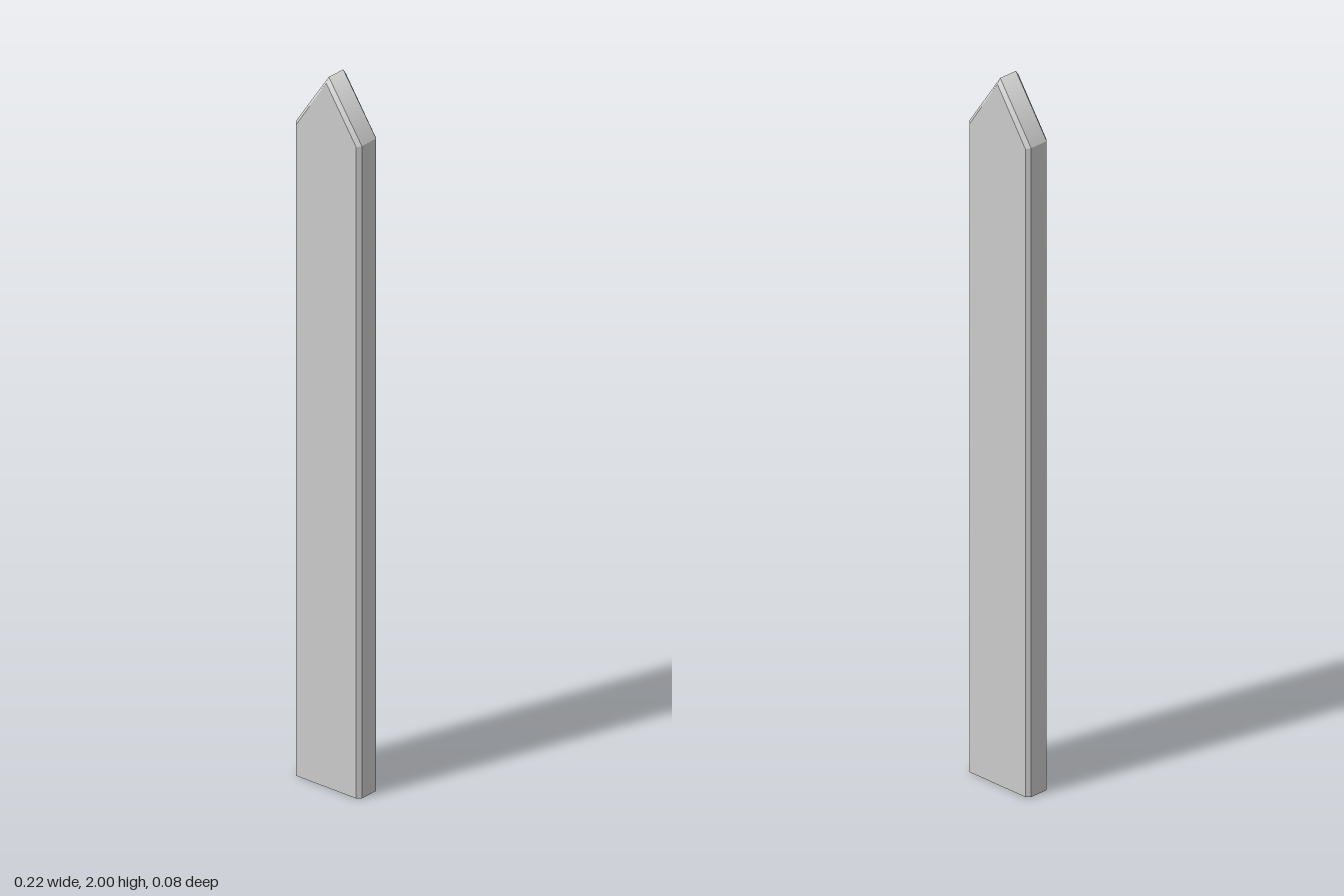
import * as THREE from 'three';

const HALF_WIDTH = 0.11, SHOULDER = 1.84, TOP = 2, HALF_DEPTH = 0.038, CHAMFER = 0.01;

// Pointed board with chamfered long edges and a square-cut foot
function picketGeometry() {
  const outline = new THREE.Shape([
    new THREE.Vector2(-HALF_WIDTH, 0),
    new THREE.Vector2(HALF_WIDTH, 0),
    new THREE.Vector2(HALF_WIDTH, SHOULDER),
    new THREE.Vector2(0, TOP),
    new THREE.Vector2(-HALF_WIDTH, SHOULDER),
  ]);
  const depth = 2 * (HALF_DEPTH - CHAMFER);
  const geometry = new THREE.ExtrudeGeometry(outline, {
    depth,
    bevelEnabled: true,
    bevelSegments: 1,
    bevelSize: CHAMFER,
    bevelThickness: CHAMFER,
    bevelOffset: -CHAMFER,
  });
  geometry.translate(0, 0, -depth / 2);

  // Flatten the chamfer at the foot
  const position = geometry.attributes.position;
  for (let i = 0; i < position.count; i++) {
    if (position.getY(i) < 0.1) position.setY(i, 0);
  }
  geometry.computeVertexNormals();

  // Soften the shading across the ridge of the point
  const normal = geometry.attributes.normal;
  const n = new THREE.Vector3();
  for (let i = 0; i < position.count; i++) {
    n.fromBufferAttribute(normal, i);
    if (Math.abs(position.getX(i)) < 1e-4 && position.getY(i) > SHOULDER && n.y > 0.2) {
      n.setX(0).normalize();
      normal.setXYZ(i, n.x, n.y, n.z);
    }
  }
  return geometry;
}

export function createModel() {
  const group = new THREE.Group();
  group.name = 'fencePicket';
  const board = new THREE.Mesh(
    picketGeometry(),
    new THREE.MeshStandardMaterial({ color: 0xcccccc }),
  );
  board.name = 'picketBoard';
  group.add(board);
  return group;
}
